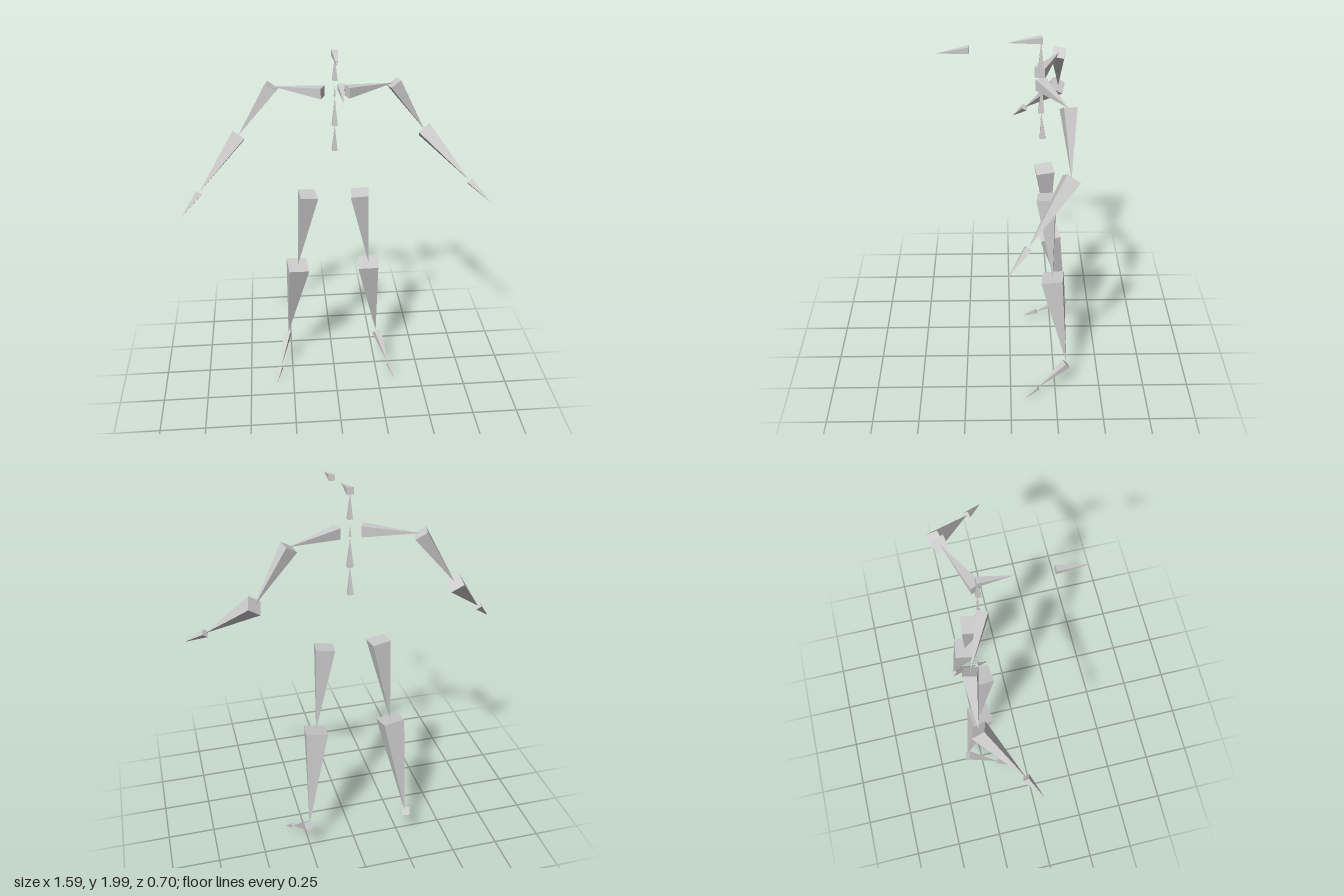
import * as THREE from 'three';

const V = (a) => new THREE.Vector3(...a);

export function createModel() {
  const model = new THREE.Group();
  model.name = 'boneFigure';
  const boneGrey = new THREE.MeshStandardMaterial({ color: 0xcccccc, flatShading: true });
  boneGrey.name = 'boneGrey';

  // One bone: a square pyramid from joint a to tip b, a fifth as wide as long;
  // one side of it faces the hint direction.
  function bone(name, a, b, hint) {
    const start = V(a);
    const axis = V(b).sub(start);
    const length = axis.length();
    axis.normalize();
    const front = V(hint).projectOnPlane(axis).normalize();
    const side = new THREE.Vector3().crossVectors(axis, front);
    const geo = new THREE.ConeGeometry((0.2 * length) / Math.SQRT2, length, 4, 1);
    geo.rotateY(Math.PI / 4).translate(0, length / 2, 0);
    geo.applyMatrix4(new THREE.Matrix4().makeBasis(side, axis, front).setPosition(start));
    const mesh = new THREE.Mesh(geo, boneGrey);
    mesh.name = name;
    model.add(mesh);
  }

  // A chain of bones, each starting where the previous one ends
  function chain(names, joints, hint) {
    names.forEach((name, i) => bone(name, joints[i], joints[i + 1], hint));
  }

  // Spine, neck and head
  chain(['lowerSpine', 'upperSpine'],
    [[0, 1.475, -0.16], [0, 1.615, -0.15], [0, 1.76, -0.15]], [0, 0, 1]);
  bone('spineTop', [0, 1.765, -0.15], [0, 1.82, -0.147], [0, 0, 1]);
  bone('neck', [0, 1.85, -0.145], [0, 1.975, -0.143], [0, 0, 1]);
  bone('head', [0, 1.983, -0.15], [0, 1.967, 0.015], [0, 1, 0]);
  bone('faceMarker', [0, 1.936, 0.19], [0, 1.918, 0.345], [0, 1, 0]);

  // Arms and legs; the pose differs slightly from side to side
  const limbs = {
    right: {
      s: -1,
      clavicle: [-0.06, 1.79, -0.142],
      arm: [[-0.308, 1.79, -0.25], [-0.49, 1.525, -0.265], [-0.7, 1.29, -0.095], [-0.795, 1.188, -0.025]],
      leg: [[-0.14, 1.215, -0.18], [-0.203, 0.753, -0.22], [-0.268, 0.208, -0.333]],
      foot: [[-0.275, 0.2, -0.333], [-0.322, 0.073, -0.165], [-0.352, 0.012, -0.083]],
    },
    left: {
      s: 1,
      clavicle: [0.06, 1.79, -0.142],
      arm: [[0.308, 1.79, -0.253], [0.478, 1.528, -0.265], [0.695, 1.313, -0.07], [0.793, 1.23, 0.02]],
      leg: [[0.135, 1.215, -0.18], [0.195, 0.753, -0.22], [0.26, 0.208, -0.307]],
      foot: [[0.265, 0.2, -0.307], [0.32, 0.073, -0.15], [0.35, 0.012, -0.073]],
    },
  };
  for (const [side, { s, clavicle, arm, leg, foot }] of Object.entries(limbs)) {
    const named = (...parts) => parts.map((p) => side + p);
    bone(side + 'Clavicle', clavicle, arm[0], [0, 1, 0]);
    chain(named('UpperArm', 'Forearm', 'Hand'), arm, [0.2 * s, 0.15, 1]);
    chain(named('Thigh', 'Shin'), leg, [-0.13 * s, 0, 1]);
    chain(named('Foot', 'Toe'), foot, [0, 1, 0]);
  }
  return model;
}
